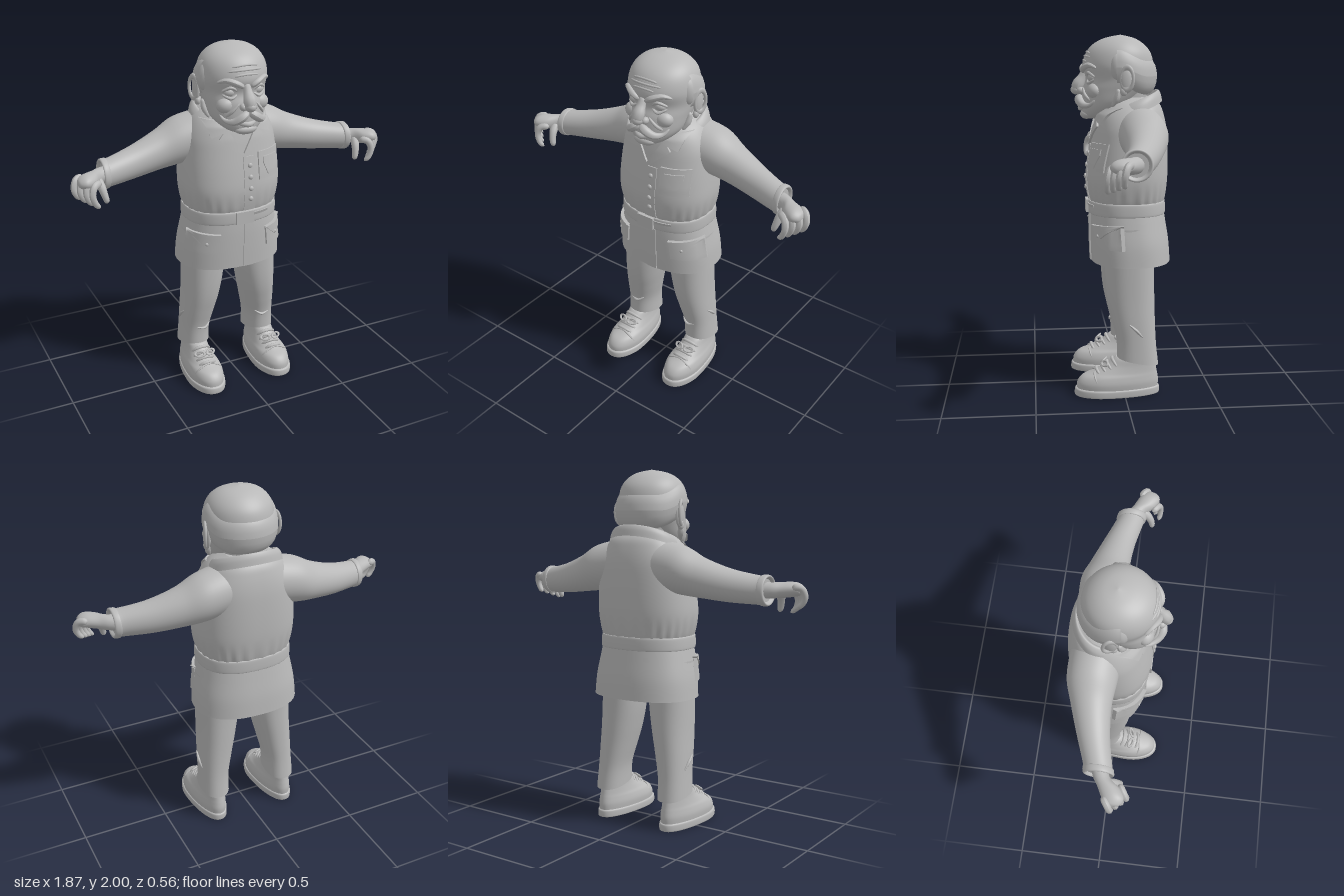
import * as THREE from 'three';

const grey = new THREE.MeshStandardMaterial({ color: 0xb8b8b8, side: THREE.DoubleSide });
grey.name = 'plain grey';

// Smooth interpolation through rows of numbers, t from 0 to 1
function blend(rows, t) {
  const f = t * (rows.length - 1), i = Math.min(Math.floor(f), rows.length - 2), u = f - i;
  const p = k => rows[Math.max(0, Math.min(rows.length - 1, k))];
  return rows[i].map((_, c) => {
    const a = p(i - 1)[c], b = p(i)[c], d = p(i + 1)[c], e = p(i + 2)[c];
    const v0 = (d - a) / 2, v1 = (e - b) / 2;
    return (2 * b - 2 * d + v0 + v1) * u ** 3 + (-3 * b + 3 * d - 2 * v0 - v1) * u * u + v0 * u + b;
  });
}

// Rings [x, y, z, half size, half size] along an axis; sizes are x,z for 'y' and y,z for 'x'
function loft(rows, { axis = 'y', power = 2, n = 48, steps = 6, warp, cap = true } = {}) {
  const pos = [], idx = [], rings = (rows.length - 1) * steps + 1;
  const se = v => Math.sign(v) * Math.abs(v) ** (2 / power);
  for (let j = 0; j < rings; j++) {
    const [x, y, z, a, b] = blend(rows, j / (rings - 1));
    for (let i = 0; i < n; i++) {
      const q = i / n * Math.PI * 2, c = se(Math.cos(q)), s = se(Math.sin(q));
      const v = axis === 'y' ? new THREE.Vector3(x + a * s, y, z + b * c) : new THREE.Vector3(x, y + a * c, z + b * s);
      if (warp) warp(v, q);
      pos.push(v.x, v.y, v.z);
      if (j) {
        const k = (i + 1) % n, lo = (j - 1) * n, hi = j * n;
        idx.push(lo + i, lo + k, hi + k, lo + i, hi + k, hi + i);
      }
    }
  }
  if (cap) for (const top of [0, 1]) {
    const start = pos.length / 3, from = top ? (rings - 1) * n : 0, m = [0, 0, 0];
    for (let i = 0; i < n; i++) for (let c = 0; c < 3; c++) {
      const val = pos[(from + i) * 3 + c];
      pos.push(val);
      m[c] += val / n;
    }
    pos.push(...m);
    for (let i = 0; i < n; i++) {
      const a = start + i, b = start + (i + 1) % n;
      idx.push(start + n, top ? a : b, top ? b : a);
    }
  }
  const g = new THREE.BufferGeometry();
  g.setAttribute('position', new THREE.Float32BufferAttribute(pos, 3));
  g.setIndex(idx);
  g.computeVertexNormals();
  return g;
}

// Round-ended tube through points [x, y, z, radius]
function taper(pts, seg = 20, n = 10) {
  const curve = new THREE.CatmullRomCurve3(pts.map(p => new THREE.Vector3(p[0], p[1], p[2])));
  const g = new THREE.TubeGeometry(curve, seg, 1, n), P = g.attributes.position, N = g.attributes.normal;
  for (let i = 0; i < P.count; i++) {
    const t = Math.floor(i / (n + 1)) / seg, c = curve.getPointAt(t);
    const e = Math.min(1, Math.min(t, 1 - t) / 0.15), r = blend(pts, t)[3] * Math.sqrt(1 - (1 - e) ** 2);
    P.setXYZ(i, c.x + N.getX(i) * r, c.y + N.getY(i) * r, c.z + N.getZ(i) * r);
  }
  g.computeVertexNormals();
  return g;
}

const ball = (x, y, z, a, b, c) => new THREE.SphereGeometry(1, 24, 16).scale(a, b, c).translate(x, y, z);

// Front surface z of a set of rings
function frontZ(rows, x, y, power) {
  let i = 0;
  while (i < rows.length - 2 && rows[i + 1][1] < y) i++;
  const A = rows[i], B = rows[i + 1], t = Math.max(0, Math.min(1, (y - A[1]) / (B[1] - A[1])));
  const m = A.map((v, k) => v + (B[k] - v) * t), q = Math.min(0.985, Math.abs(x) / m[3]);
  return m[2] + m[4] * (1 - q ** power) ** (1 / power);
}

// Four-cornered patch laid on rings; corners bottom left, bottom right, top left, top right
function patch(rows, power, [bl, br, tl, tr], thick) {
  const g = new THREE.BoxGeometry(1, 1, 1, 12, 8, 1), P = g.attributes.position;
  for (let i = 0; i < P.count; i++) {
    const u = P.getX(i) + 0.5, v = P.getY(i) + 0.5, out = P.getZ(i) > 0 ? thick : -0.01;
    const [x, y] = [0, 1].map(c => (bl[c] * (1 - u) + br[c] * u) * (1 - v) + (tl[c] * (1 - u) + tr[c] * u) * v);
    P.setXYZ(i, x * (1 + out * 1.5), y, frontZ(rows, x, y, power) + out);
  }
  g.computeVertexNormals();
  return g;
}
const rect = (x0, x1, y0, y1) => [[x0, y0], [x1, y0], [x0, y1], [x1, y1]];

// Rings given as [y, half width, back z, front z]
const span = rows => rows.map(([y, w, b, f]) => [0, y, (b + f) / 2, w, (f - b) / 2]);
const TORSO = span([[1.05, .245, -.235, .165], [1.11, .268, -.25, .185], [1.2, .285, -.262, .195], [1.3, .283, -.265, .185],
  [1.42, .272, -.262, .165], [1.5, .258, -.255, .15], [1.57, .225, -.24, .13], [1.62, .185, -.22, .09], [1.66, .12, -.18, .04]]);
const SKIRT = span([[.74, .305, -.28, .172], [.85, .296, -.272, .176], [.96, .276, -.255, .178], [1.05, .258, -.24, .175]]);
const HEAD = span([[1.54, .035, .13, .19], [1.565, .095, .05, .215], [1.62, .15, -.06, .22], [1.7, .172, -.14, .213], [1.76, .182, -.175, .195],
  [1.83, .19, -.185, .212], [1.9, .178, -.17, .192], [1.95, .145, -.13, .15], [1.983, .09, -.075, .085], [2, .004, -.004, .004]]);

export function createModel() {
  const model = new THREE.Group();
  const add = (name, g) => {
    const m = new THREE.Mesh(g, grey);
    m.name = name;
    model.add(m);
  };
  const pair = (name, g) => {
    add(name + 'Left', g);
    const r = g.clone().applyMatrix4(new THREE.Matrix4().makeScale(-1, 1, 1)), k = r.index;
    for (let i = 0; i < k.count; i += 3) {
      const t = k.getX(i);
      k.setX(i, k.getX(i + 2));
      k.setX(i + 2, t);
    }
    add(name + 'Right', r);
  };

  // Jacket, gathered above the belt
  add('jacket', loft(TORSO, { power: 2.4, n: 120, warp: (v, q) => {
    const s = 1 + 0.014 * Math.sin(q * 26) * Math.max(0, Math.min(1, (1.2 - v.y) / 0.1));
    v.x *= s; v.z *= s;
  } }));
  add('jacketSkirt', loft(SKIRT, { power: 2.4, n: 72, cap: false }));
  add('belt', loft(span([[1.015, .262, -.245, .178], [1.02, .27, -.252, .187], [1.08, .268, -.25, .187], [1.086, .258, -.24, .176]]), { power: 2.4, n: 72 }));
  add('buckle', new THREE.BoxGeometry(.106, .072, .02).translate(0, 1.05, .188));
  add('beltEnd', patch(TORSO, 2.4, rect(.05, .15, 1.03, 1.072), .022));
  add('placket', patch(TORSO, 2.4, rect(-.005, .065, 1.09, 1.4), .006));
  add('skirtPlacket', patch(SKIRT, 2.4, rect(0, .06, .742, 1.01), .006));
  for (const y of [1.16, 1.22, 1.285, 1.35]) add('button', ball(.032, y, frontZ(TORSO, .032, y, 2.4) + .008, .014, .014, .009));
  add('chestPocket', patch(TORSO, 2.4, rect(.087, .238, 1.26, 1.415), .009));
  add('shieldPatch', patch(TORSO, 2.4, [[.145, 1.28], [.18, 1.28], [.115, 1.35], [.21, 1.35]], .015));
  add('shieldTop', patch(TORSO, 2.4, rect(.115, .21, 1.35, 1.385), .015));
  pair('skirtPocket', patch(SKIRT, 2.4, [[.15, .845], [.298, .835], [.14, .95], [.282, .96]], .012));
  pair('pocketFlap', patch(SKIRT, 2.4, [[.205, .895], [.225, .895], [.135, .96], [.284, .97]], .021));
  pair('pocketButton', ball(.213, .908, frontZ(SKIRT, .213, .908, 2.4) + .024, .01, .01, .007));

  // Collar and lapels
  add('collar', loft([[0, 1.57, -.06, .215, .175], [0, 1.615, -.065, .2, .16], [0, 1.64, -.07, .172, .138], [0, 1.6, -.07, .15, .12]],
    { cap: false, warp: v => { v.y -= (v.z + .06) * .4; } }));
  pair('lapel', patch(TORSO, 2.4, [[0, 1.395], [.13, 1.505], [0, 1.42], [.085, 1.56]], .012));
  pair('collarFlap', patch(TORSO, 2.4, [[.085, 1.545], [.168, 1.515], [.1, 1.6], [.19, 1.605]], .018));
  add('neck', loft(span([[1.45, .1, -.14, .07], [1.58, .115, -.14, .09], [1.72, .13, -.15, .08]])));

  // Sleeves with open cuffs
  pair('sleeve', loft([[.12, 1.48, -.09, .14, .14], [.28, 1.455, -.102, .132, .132], [.4, 1.418, -.092, .108, .108], [.55, 1.383, -.062, .089, .088],
    [.7, 1.363, -.02, .077, .076], [.735, 1.362, -.014, .078, .077]], { axis: 'x', cap: false }));
  pair('cuff', loft([[.715, 1.362, -.016, .077, .076], [.72, 1.362, -.015, .082, .081], [.745, 1.362, -.01, .082, .081], [.75, 1.362, -.009, .072, .072],
    [.735, 1.362, -.01, .06, .06]], { axis: 'x', steps: 3 }));

  // Hands with curled fingers
  pair('palm', loft([[.7, 1.36, -.015, .045, .045], [.765, 1.363, .01, .042, .045], [.81, 1.365, .05, .042, .058], [.86, 1.368, .075, .038, .058],
    [.895, 1.365, .075, .024, .04], [.905, 1.363, .075, .003, .004]], { axis: 'x', n: 24 }));
  for (let i = 0; i < 4; i++) {
    const f = i / 3, x = .885 - .075 * f, y = 1.382 - .022 * f, z = .04 + .075 * f;
    pair('finger', taper([[x - .025, y, z - .015, .02], [x + .018, y - .008, z + .012, .02], [x + .034, y - .05, z + .026, .018],
      [x + .018, y - .09 - .012 * f, z + .028, .016], [x - .006, y - .108 - .015 * f, z + .02, .014]]));
  }
  pair('thumb', taper([[.785, 1.36, .04, .024], [.775, 1.32, .08, .023], [.765, 1.275, .1, .019], [.755, 1.24, .105, .015]]));

  // Trousers, with hems cut lower at the back
  const leg = [[.215, .19, -.078, .085, .117], [.21, .3, -.07, .084, .112], [.195, .42, -.055, .095, .122], [.178, .55, -.042, .107, .133],
    [.165, .7, -.036, .118, .137], [.155, .95, -.035, .125, .14]];
  pair('trouserLeg', loft(leg, { power: 2.3, cap: false, warp: v => { v.y += (v.z + .08) * .2 * Math.max(0, 1 - (v.y - .19) / .3); } }));
  pair('kneeFold', taper([[.292, .42, -.02, .004], [.296, .385, -.06, .009], [.29, .34, -.1, .004]]));
  pair('shinFold', taper([[.15, .34, .028, .004], [.19, .315, .045, .008], [.24, .325, .037, .004]]));

  // Shoes
  const foot = rows => span(rows).map(([x, ...r]) => [x + .218, ...r]);
  const narrowHeel = v => { v.x = .218 + (v.x - .218) * (1 - .22 * Math.max(0, Math.min(1, (.14 - v.z) / .3))); };
  pair('sole', loft(foot([[0, .104, -.195, .27], [.006, .11, -.2, .28], [.036, .11, -.2, .278], [.044, .102, -.192, .268]]), { power: 2.3, warp: narrowHeel }));
  pair('shoe', loft(foot([[.035, .102, -.192, .268], [.075, .105, -.195, .264], [.11, .097, -.19, .235], [.135, .086, -.185, .175], [.17, .076, -.178, .105],
    [.205, .07, -.168, .06], [.215, .06, -.155, .045]]), { power: 2.2, warp: narrowHeel }));
  pair('sock', loft(foot([[.15, .062, -.15, .045], [.26, .062, -.15, .03]])));
  pair('toeCapSeam', taper([[.125, .07, .15, .005], [.155, .122, .17, .005], [.218, .142, .165, .005], [.281, .122, .17, .005], [.311, .07, .15, .005]]));
  for (let i = 0; i < 4; i++) {
    const z = .065 + i * .03, y = .2 - i * .018;
    pair('lace', taper([[.158, y - .028, z - .02, .007], [.19, y, z, .009], [.246, y, z, .009], [.278, y - .028, z - .02, .007]]));
  }
  for (const s of [-1, 1])
    pair('laceLoop', new THREE.TorusGeometry(.02, .006, 8, 20).scale(1.4, .8, 1).rotateX(-.8).rotateY(s * .4).translate(.218 + s * .034, .185, .112));

  // Head and ears
  add('head', loft(HEAD, { n: 64 }));
  pair('ear', ball(.196, 1.755, -.015, .018, .07, .035).rotateY(0));
  pair('earRim', new THREE.TorusGeometry(.034, .009, 10, 28).scale(1, 1.75, 1).rotateY(Math.PI / 2 - .35).translate(.208, 1.765, -.018));
  pair('earLobe', ball(.194, 1.695, 0, .016, .024, .02));
  pair('sideburn', taper([[.176, 1.71, .025, .012], [.17, 1.66, .035, .018], [.152, 1.61, .06, .008]]));

  // Fringe of hair around the back, rising over the ears
  const lift = v => .05 * THREE.MathUtils.smoothstep(v, -.14, .03);
  const hair = new THREE.TorusGeometry(.15, .056, 20, 56, Math.PI * 1.12).rotateZ(Math.PI * .94).rotateX(Math.PI / 2).scale(1, 1.8, 1);
  const H = hair.attributes.position;
  for (let i = 0; i < H.count; i++) H.setY(i, H.getY(i) + 1.775 + lift(H.getZ(i)));
  hair.computeVertexNormals();
  add('hair', hair);
  pair('hairEnd', ball(.148, 1.825, .03, .054, .085, .05));

  // Face
  add('noseBridge', taper([[0, 1.815, .19, .02], [0, 1.77, .213, .024], [0, 1.72, .24, .034], [0, 1.685, .245, .03]]));
  add('noseTip', ball(0, 1.7, .244, .031, .028, .034));
  pair('nostril', ball(.031, 1.695, .222, .019, .02, .022));
  pair('eye', ball(.08, 1.768, .158, .036, .026, .028));
  pair('upperLid', taper([[.04, 1.768, .182, .007], [.08, 1.795, .184, .01], [.125, 1.772, .152, .007]]));
  pair('lowerLid', taper([[.042, 1.76, .182, .006], [.08, 1.738, .184, .009], [.122, 1.757, .154, .006]]));
  pair('eyebrow', taper([[.018, 1.795, .208, .013], [.06, 1.82, .208, .017], [.11, 1.835, .18, .014], [.15, 1.82, .145, .008]]));
  pair('cheek', ball(.095, 1.695, .148, .055, .045, .045));
  pair('smileFold', taper([[.045, 1.715, .212, .006], [.085, 1.67, .2, .009], [.12, 1.62, .145, .005]]));
  pair('moustache', taper([[0, 1.668, .222, .018], [.035, 1.645, .232, .024], [.08, 1.618, .212, .02], [.115, 1.622, .175, .012], [.135, 1.65, .15, .007]], 28));
  add('lowerLip', taper([[-.055, 1.607, .198, .01], [0, 1.598, .224, .015], [.055, 1.607, .198, .01]]));
  add('chin', ball(0, 1.565, .19, .065, .028, .036));
  for (const [y, w] of [[1.862, .07], [1.885, .1], [1.908, .075]])
    add('foreheadWrinkle', taper([-1, -.5, 0, .5, 1].map(s => {
      const yy = y - .008 * s * s;
      return [s * w, yy, frontZ(HEAD, s * w, yy, 2) + .002, .006];
    })));
  return model;
}
